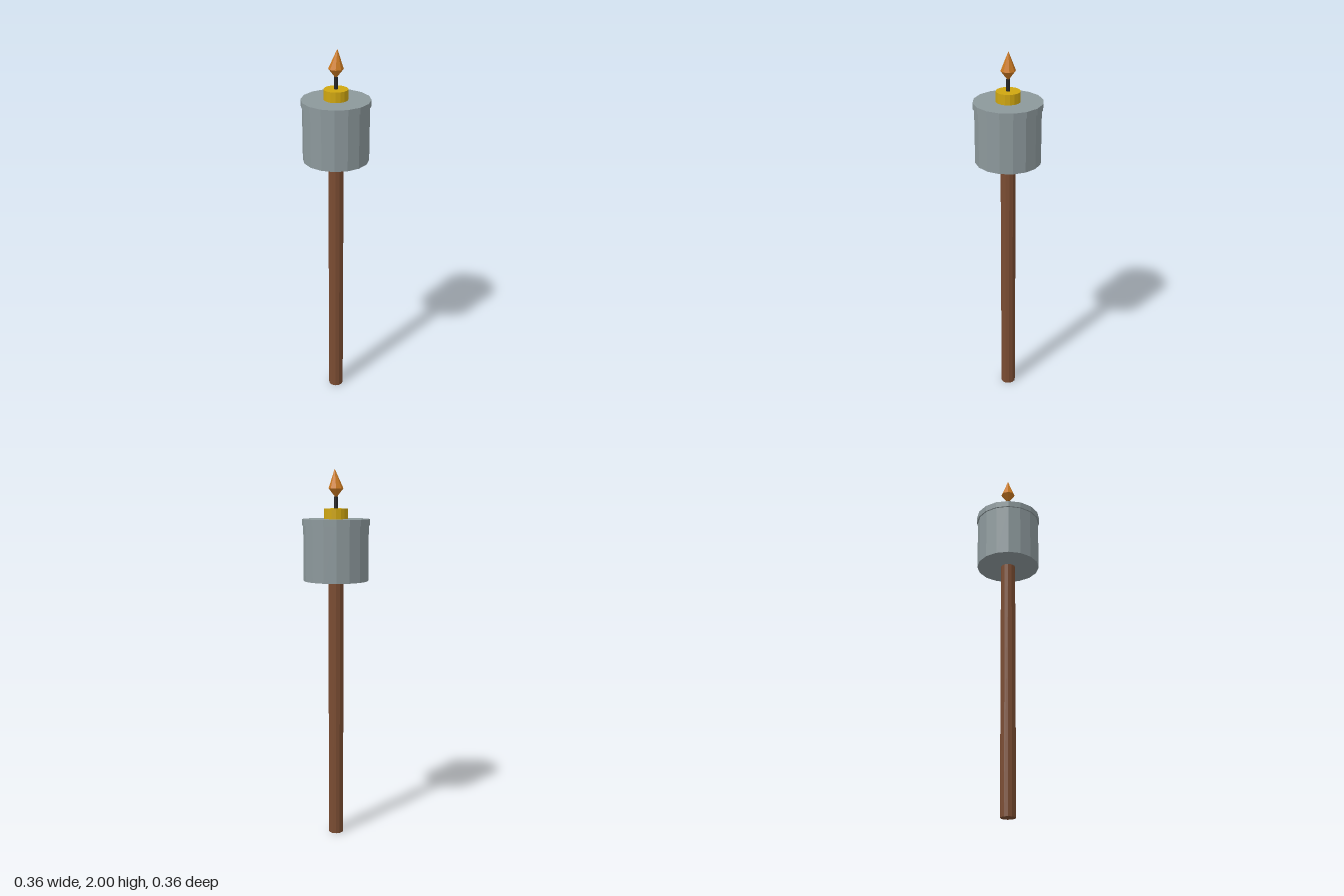
import * as THREE from 'three';

const paint = (name, color) => {
  const m = new THREE.MeshStandardMaterial({ color, flatShading: true });
  m.name = name;
  return m;
};

export function createModel() {
  const group = new THREE.Group();
  group.name = 'torch';
  const wood = paint('wood', 0x7a4c32);
  const steel = paint('steel', 0x8c989b);
  const brass = paint('brass', 0xcfa610);
  const char = paint('char', 0x242424);
  const fire = paint('fire', 0xcc7a22);

  const add = (name, geometry, material) => {
    const mesh = new THREE.Mesh(geometry, material);
    mesh.name = name;
    group.add(mesh);
  };
  // Upright faceted cylinder between two heights
  const drum = (name, radius, y0, y1, sides, material) =>
    add(name, new THREE.CylinderGeometry(radius, radius, y1 - y0, sides)
      .translate(0, (y0 + y1) / 2, 0), material);

  drum('pole', 0.04, 0, 1.417, 12, wood);
  drum('fuelCan', 0.173, 1.417, 1.708, 16, steel);
  drum('lid', 0.18, 1.708, 1.742, 16, steel);
  drum('burnerCollar', 0.063, 1.742, 1.796, 16, brass);
  drum('wick', 0.01, 1.796, 1.858, 8, char);

  // Eight-sided flame with its tip leaning slightly to the left
  const flame = new THREE.LatheGeometry(
    [[0, 1.85], [0.039, 1.9], [0, 2]].map(([r, y]) => new THREE.Vector2(r, y)), 8);
  const pos = flame.attributes.position;
  for (let i = 0; i < pos.count; i++) {
    if (pos.getY(i) > 1.99) pos.setX(i, 0.007);
  }
  add('flame', flame, fire);

  return group;
}
